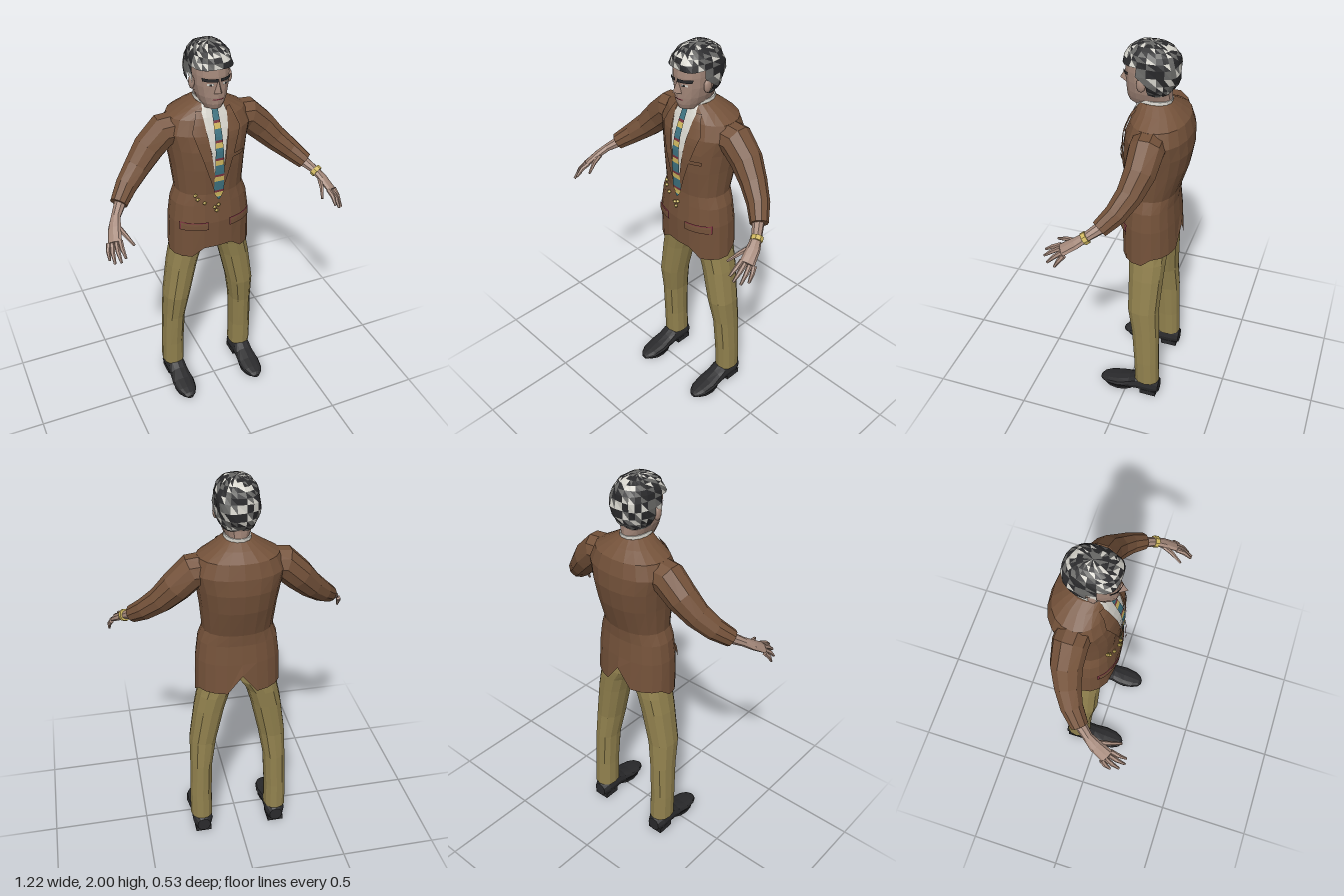
import * as THREE from 'three';

const mat = (name, color, side = THREE.FrontSide) => {
  const m = new THREE.MeshStandardMaterial({ color, side });
  m.name = name;
  return m;
};

// Faceted geometry from points and triangle indices
function faceted(points, index) {
  const g = new THREE.BufferGeometry().setFromPoints(points);
  g.setIndex(index);
  const flat = g.toNonIndexed();
  flat.computeVertexNormals();
  return flat;
}

// Skin over closed rings of points
function loft(rings, capStart = true, capEnd = true) {
  const n = rings[0].length, pts = rings.flat(), idx = [];
  for (let i = 0; i < rings.length - 1; i++) for (let j = 0; j < n; j++) {
    const a = i * n + j, b = i * n + (j + 1) % n, c = b + n, d = a + n;
    idx.push(a, d, b, b, d, c);
  }
  const cap = (ring, start, flip) => {
    const mid = ring.reduce((s, p) => s.add(p), new THREE.Vector3()).divideScalar(n);
    const k = pts.push(mid) - 1;
    for (let j = 0; j < n; j++) {
      const a = start + j, b = start + (j + 1) % n;
      idx.push(k, flip ? b : a, flip ? a : b);
    }
  };
  if (capStart) cap(rings[0], 0, false);
  if (capEnd) cap(rings[rings.length - 1], (rings.length - 1) * n, true);
  return faceted(pts, idx);
}

// Horizontal ring: row = [y, half width, front z, back z, middle z]
const P = 0.9;
const bend = (v) => Math.sign(v) * Math.abs(v) ** P;
function bodyRing([y, rx, f, b, zc], n = 20, cx = 0) {
  return Array.from({ length: n }, (_, j) => {
    const t = j / n * Math.PI * 2, s = bend(Math.sin(t));
    return new THREE.Vector3(cx + rx * bend(Math.cos(t)), y, zc + s * (s > 0 ? f - zc : zc - b));
  });
}

// Front depth of a body made from such rows
function frontZ(rows, x, y) {
  let i = 0;
  while (i < rows.length - 2 && rows[i + 1][0] < y) i++;
  const k = THREE.MathUtils.clamp((y - rows[i][0]) / (rows[i + 1][0] - rows[i][0]), 0, 1);
  const [, rx, f, , zc] = rows[i].map((v, q) => v + (rows[i + 1][q] - v) * k);
  const c = Math.min(1, Math.abs(x) / rx) ** (1 / P);
  return zc + (f - zc) * Math.sqrt(1 - c * c) ** P;
}

// Thin panel on the front of a body: strips = [y, left x, right x] from the top down
function panel(rows, strips, off) {
  const lines = [], pts = [], idx = [], across = 6, down = 3;
  for (let i = 0; i < strips.length - 1; i++) for (let k = 0; k < down; k++)
    lines.push(strips[i].map((v, q) => v + (strips[i + 1][q] - v) * k / down));
  lines.push(strips[strips.length - 1]);
  lines.forEach(([y, l, r], i) => {
    for (let j = 0; j <= across; j++) {
      const x = l + (r - l) * j / across;
      pts.push(new THREE.Vector3(x, y, frontZ(rows, x, y) + off));
      if (i && j) {
        const c = pts.length - 1, d = c - 1, b = c - across - 1, a = b - 1;
        idx.push(a, d, c, a, c, b);
      }
    }
  });
  return faceted(pts, idx);
}

// Limb along a path: points = [x, y, z, radius, second radius]; s mirrors x
function limb(points, s = 1, n = 8, spread = [0, 0, 1]) {
  const c = points.map(([x, y, z]) => new THREE.Vector3(x * s, y, z));
  const ref = new THREE.Vector3(spread[0] * s, spread[1], spread[2]);
  return loft(points.map(([, , , ru, rv = ru], i) => {
    const t = c[Math.min(i + 1, c.length - 1)].clone().sub(c[Math.max(i - 1, 0)]).normalize();
    const u = ref.clone().addScaledVector(t, -ref.dot(t)).normalize();
    const v = u.clone().cross(t);
    return Array.from({ length: n }, (_, j) => {
      const a = j / n * Math.PI * 2;
      return c[i].clone().addScaledVector(u, ru * Math.cos(a)).addScaledVector(v, rv * Math.sin(a));
    });
  }));
}

export function createModel() {
  const model = new THREE.Group();
  const brown = mat('jacket brown', 0x74523a, THREE.DoubleSide), khaki = mat('trouser khaki', 0x91814e);
  const black = mat('near black', 0x2a2a2c), skin = mat('skin', 0xa5897b), white = mat('shirt white', 0xd6d4cc);
  const grey = mat('hair grey', 0x686866), teal = mat('tie teal', 0x3f7482);
  const yellow = mat('tie yellow', 0xd0b860), maroon = mat('maroon', 0x7c3440);
  const add = (name, geo, m) => {
    const mesh = new THREE.Mesh(geo, m);
    mesh.name = name;
    model.add(mesh);
    return mesh;
  };

  // Jacket body with cut-away hem and a vent at the back
  const torso = [
    [0.9, 0.213, 0.06, -0.225, -0.08], [1.1, 0.208, 0.065, -0.215, -0.08], [1.2, 0.195, 0.055, -0.205, -0.08],
    [1.26, 0.172, 0.05, -0.208, -0.08], [1.4, 0.185, 0.06, -0.25, -0.09], [1.5, 0.2, 0.06, -0.267, -0.1],
    [1.58, 0.22, 0.045, -0.264, -0.1], [1.65, 0.19, 0.018, -0.245, -0.1], [1.69, 0.12, 0.0, -0.2, -0.1],
    [1.72, 0.07, -0.01, -0.16, -0.09]];
  const coat = torso.map((r) => bodyRing(r));
  for (const p of coat[0]) {
    if (p.z > 0 && Math.abs(p.x) < 0.08) p.y = 0.95;
    else if (p.z < -0.1) p.y = Math.abs(p.x) < 0.02 ? 1.04 : 0.94;
  }
  add('jacket', loft(coat, false, true), brown);

  // Shirt, collar, lapels and pockets
  add('shirtFront', panel(torso, [[1.72, -0.05, 0.05], [1.66, -0.065, 0.065], [1.5, -0.037, 0.037], [1.28, -0.01, 0.01]], 0.005), white);
  add('shirtCollar', loft([[1.68, 0.072, 0.004, -0.16, -0.08], [1.735, 0.062, 0.0, -0.163, -0.08]].map((r) => bodyRing(r, 14))), white);
  for (const s of [-1, 1]) {
    const side = (strips) => strips.map(([y, a, b]) => s > 0 ? [y, a, b] : [y, -b, -a]);
    add('lapel', panel(torso, side([[1.69, 0.062, 0.085], [1.6, 0.054, 0.12], [1.55, 0.046, 0.105], [1.27, 0.006, 0.018]]), 0.01), brown);
    add('pocketTrim', panel(torso, side([[1.113, 0.055, 0.185], [1.067, 0.055, 0.185]]), 0.008), maroon);
    add('pocketFlap', panel(torso, side([[1.109, 0.059, 0.181], [1.071, 0.059, 0.181]]), 0.012), brown);
  }
  add('breastPocket', panel(torso, [[1.475, 0.045, 0.135], [1.455, 0.045, 0.135]], 0.013), brown);

  // Striped tie
  const tieHalf = (y) => y < 1.27 ? 0.003 + 0.024 * (y - 1.235) / 0.035 : 0.027 - 0.012 * (y - 1.27) / 0.43;
  const stripes = [[0.052, teal], [0.012, maroon], [0.026, yellow]];
  for (let y = 1.7, k = 0; y > 1.236; k++) {
    const [h, m] = stripes[k % 3], low = Math.max(1.235, y - h);
    add('tieStripe', panel(torso, [[y, -tieHalf(y), tieHalf(y)], [low, -tieHalf(low), tieHalf(low)]], 0.014), m);
    y = low;
  }

  // Small metal fittings on the jacket
  for (const [x, y] of [[-0.11, 1.26], [-0.1, 1.24], [-0.07, 1.22], [-0.02, 1.19], [0, 1.2], [-0.01, 1.17]])
    add('fitting', new THREE.OctahedronGeometry(0.012), yellow).position.set(x, y, frontZ(torso, x, y) + 0.006);

  // Trousers: [y, inner, outer, front, back]
  const leg = [[0.1, 0.145, 0.263, -0.05, -0.185], [0.25, 0.145, 0.262, -0.045, -0.18], [0.45, 0.137, 0.255, -0.03, -0.177],
    [0.6, 0.112, 0.252, -0.005, -0.17], [0.8, 0.068, 0.225, 0.0, -0.18], [0.89, 0.042, 0.207, 0.005, -0.185],
    [0.95, 0.0, 0.195, 0.01, -0.185], [1.12, 0.0, 0.17, 0.01, -0.17]];
  // Shoes: [z, half width, height]
  const shoe = [[-0.185, 0.035, 0.09], [-0.15, 0.054, 0.12], [-0.06, 0.052, 0.115], [-0.02, 0.053, 0.088],
    [0.04, 0.06, 0.066], [0.1, 0.052, 0.052], [0.135, 0.034, 0.042], [0.15, 0.015, 0.03]];
  const fingers = [ // knuckle then tip
    [0.588, 1.2, 0.155, 0.6, 1.135, 0.2], [0.575, 1.205, 0.17, 0.587, 1.14, 0.24],
    [0.558, 1.213, 0.182, 0.562, 1.155, 0.262], [0.54, 1.22, 0.185, 0.54, 1.175, 0.262], [0.525, 1.25, 0.115, 0.485, 1.205, 0.222]];

  for (const s of [-1, 1]) {
    add('trouserLeg', loft(leg.map(([y, a, b, f, k]) =>
      bodyRing([y, (b - a) / 2, f, k, (f + k) / 2], 12, s * (a + b) / 2))), khaki);
    add('shoe', loft(shoe.map(([z, w, h]) => Array.from({ length: 12 }, (_, j) => {
      const t = j / 12 * Math.PI * 2;
      return new THREE.Vector3(s * 0.202 + w * bend(Math.cos(t)), 0.012 + (h - 0.012) * (0.5 - 0.5 * bend(Math.sin(t))), z);
    }))), black);
    add('shoeHeel', new THREE.BoxGeometry(0.085, 0.03, 0.09), black).position.set(s * 0.202, 0.015, -0.13);
    add('shoeSole', new THREE.CylinderGeometry(0.05, 0.05, 0.014, 12).scale(1, 1, 1.7), black).position.set(s * 0.202, 0.007, 0.045);

    add('sleeve', limb([[0.12, 1.575, -0.1, 0.085], [0.215, 1.572, -0.105, 0.083], [0.29, 1.5, -0.1, 0.076],
      [0.36, 1.425, -0.075, 0.064], [0.43, 1.362, -0.035, 0.054], [0.488, 1.31, 0.02, 0.043]], s, 10), brown);
    add('palm', limb([[0.47, 1.32, 0.005, 0.03], [0.52, 1.278, 0.07, 0.024, 0.02], [0.543, 1.248, 0.115, 0.032, 0.018],
      [0.563, 1.21, 0.175, 0.035, 0.014]], s, 8, [-0.05, 0.02, 0.025]), skin);
    for (const [a, b, c, d, e, f] of fingers)
      add('finger', limb([[a, b, c, 0.012], [(a + d) / 2 + 0.004, (b + e) / 2 + 0.006, (c + f) / 2, 0.011], [d, e, f, 0.006]], s, 6), skin);
  }
  add('wristBand', limb([[0.52, 1.279, 0.066, 0.03], [0.529, 1.268, 0.083, 0.03]], 1, 8), yellow);

  // Head and neck
  const head = [[1.64, 0.058, -0.02, -0.15, -0.08], [1.7, 0.058, -0.004, -0.16, -0.06], [1.709, 0.045, 0.04, -0.16, -0.04],
    [1.735, 0.06, 0.05, -0.16, -0.05], [1.77, 0.073, 0.053, -0.16, -0.05], [1.82, 0.083, 0.054, -0.17, -0.05],
    [1.87, 0.086, 0.057, -0.17, -0.05], [1.92, 0.085, 0.052, -0.17, -0.05], [1.97, 0.06, 0.02, -0.14, -0.05]];
  add('head', loft(head.map((r) => bodyRing(r, 16))), skin);
  const V = (x, y, z) => new THREE.Vector3(x, y, z);
  add('nose', faceted([V(0, 1.86, 0.056), V(-0.021, 1.79, 0.045), V(0.021, 1.79, 0.045), V(0, 1.803, 0.088)],
    [0, 1, 3, 0, 3, 2, 1, 2, 3]), skin);
  add('mouth', panel(head, [[1.765, -0.026, 0.026], [1.759, -0.026, 0.026]], 0.003), maroon);
  for (const s of [-1, 1]) {
    const span = (y, a, b) => s > 0 ? [y, a, b] : [y, -b, -a];
    add('eyebrow', panel(head, [span(1.868, 0.006, 0.07), span(1.852, 0.006, 0.068)], 0.009), black);
    add('eye', panel(head, [span(1.842, 0.022, 0.05), span(1.832, 0.022, 0.05)], 0.003), white);
    add('pupil', panel(head, [span(1.842, 0.031, 0.041), span(1.832, 0.031, 0.041)], 0.005), black);
    add('ear', new THREE.IcosahedronGeometry(1, 1).scale(0.013, 0.034, 0.022), skin).position.set(s * 0.092, 1.825, -0.04);
  }

  // Streaked hair: a rough squarish shell, open at the face, facets sorted by shade
  let seed = 7;
  const rand = () => (seed = (seed * 16807) % 2147483647) / 2147483647;
  const ball = new THREE.SphereGeometry(1, 22, 14), pos = ball.attributes.position, round = (v) => Math.sign(v) * Math.abs(v) ** 0.8;
  const shell = Array.from({ length: pos.count }, (_, i) => {
    const x = pos.getX(i), y = pos.getY(i), z = pos.getZ(i);
    const j = 1 + 0.035 * Math.sin(i % 23 % 22 * 5.1 + Math.round(y * 9) * 2.3);
    const drop = y < 0 ? 1 + 0.12 * y : 1;
    return V(0.104 * round(x) * j * drop, 1.868 + 0.13 * round(y), -0.065 + 0.132 * round(z) * j * drop);
  });
  const shades = [[black, [], 'darkHair'], [grey, [], 'greyHair'], [white, [], 'whiteHair']];
  for (let i = 0; i < ball.index.count; i += 3) {
    const tri = [0, 1, 2].map((k) => ball.index.getX(i + k));
    const c = tri.reduce((v, k) => v.add(shell[k]), V(0, 0, 0)).divideScalar(3), r = rand();
    if (c.y > 1.905 || (c.z < -0.02 && c.y > 1.85) || c.z < -0.07)
      shades[r < 0.52 ? 0 : r < 0.84 ? 1 : 2][1].push(...tri);
  }
  for (const [m, idx, name] of shades) add(name, faceted(shell, idx), m);

  return model;
}
